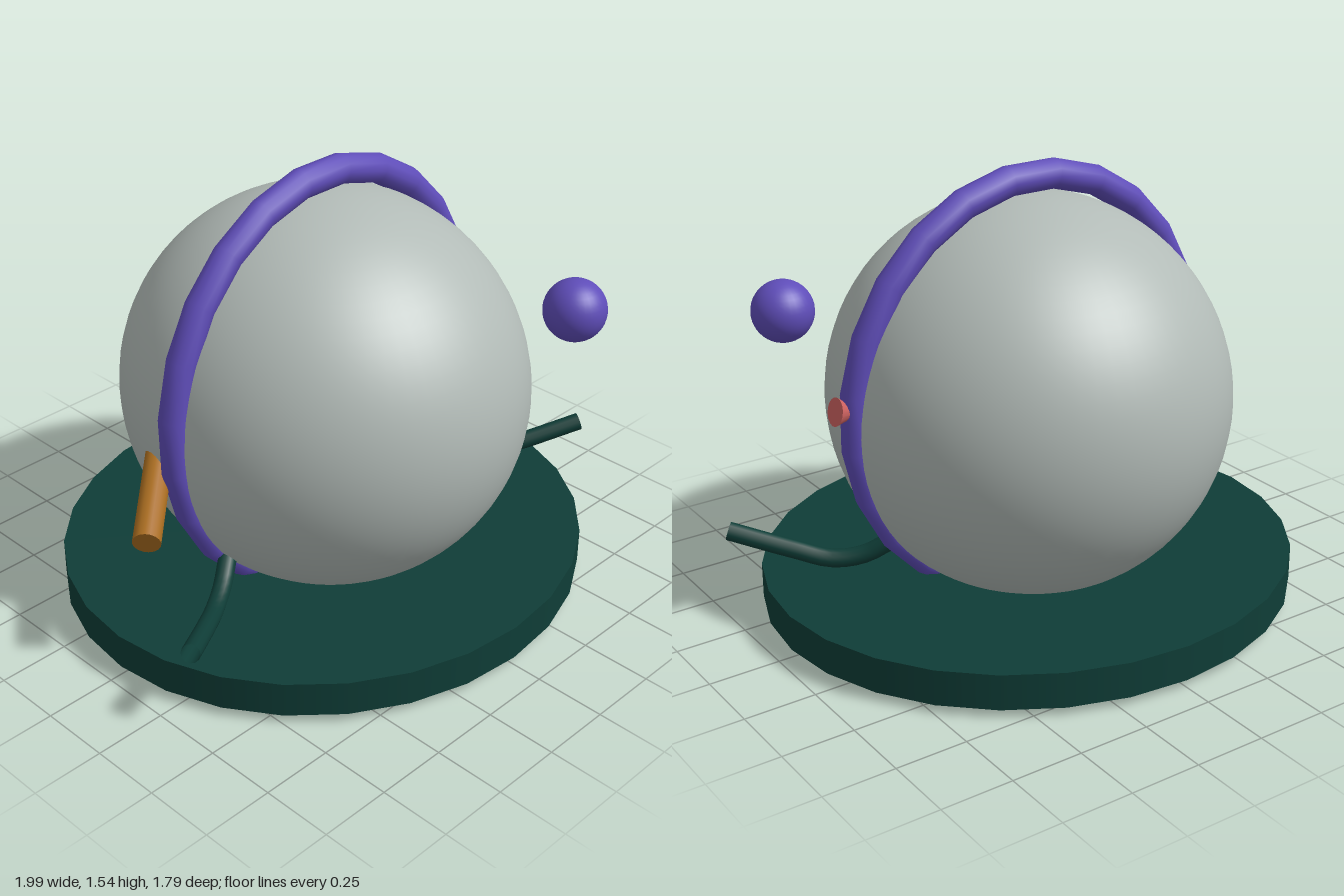
import * as THREE from 'three';

const mat = (name, color, side = THREE.FrontSide) => {
  const m = new THREE.MeshStandardMaterial({ color, side });
  m.name = name;
  return m;
};

export function createModel() {
  const grey = mat('pale grey', 0xb2bbb7);
  const purple = mat('purple', 0x5f4db9);
  const green = mat('dark green', 0x0f3d37, THREE.DoubleSide);
  const orange = mat('orange brown', 0xa86c20);
  const pink = mat('coral', 0xcc6260);

  const group = new THREE.Group();
  const add = (name, geometry, material, x = 0, y = 0, z = 0) => {
    const mesh = new THREE.Mesh(geometry, material);
    mesh.name = name;
    mesh.position.set(x, y, z);
    group.add(mesh);
    return mesh;
  };
  // Turns a mesh so its local y axis follows a direction
  const aim = (mesh, dir) =>
    mesh.quaternion.setFromUnitVectors(new THREE.Vector3(0, 1, 0), dir.clone().normalize());

  // Main body: a slightly stretched ball
  add('body', new THREE.SphereGeometry(1, 64, 40), grey, 0, 0.735, 0).scale.set(0.688, 0.697, 0.724);

  // Oval base plate
  add('base', new THREE.CylinderGeometry(1, 1, 0.125, 28), green, 0, 0.0925, -0.003)
    .scale.set(0.953, 1, 0.894);

  // Ring over the body, leaning slightly back
  const ringGeo = new THREE.TorusGeometry(0.727, 0.052, 12, 24);
  ringGeo.rotateZ(Math.PI / 24);
  ringGeo.scale(0.941, 1, 1);
  ringGeo.rotateX(-0.024);
  add('ring', ringGeo, purple, -0.002, 0.773, 0.002);

  // Floating ball at the front
  add('smallBall', new THREE.SphereGeometry(0.111, 32, 20), purple, 0.632, 0.986, 0.573);

  // Small cone, its point buried in the ring
  const coneDir = new THREE.Vector3(-0.97, -0.23, 0).normalize();
  const coneEnd = new THREE.Vector3(0.751, 0.832, 0).addScaledVector(coneDir, 0.05);
  aim(add('cone', new THREE.ConeGeometry(0.048, 0.1, 16), pink, ...coneEnd.toArray()), coneDir);

  // Slanted peg through the side of the body
  const pegOut = new THREE.Vector3(-0.892, 0.545, 0.095);
  const pegIn = new THREE.Vector3(-0.57, 0.68, -0.195);
  const pegMid = pegOut.clone().add(pegIn).multiplyScalar(0.5);
  aim(add('peg', new THREE.CylinderGeometry(0.047, 0.047, pegOut.distanceTo(pegIn), 16), orange,
    ...pegMid.toArray()), pegOut.clone().sub(pegIn));

  // Pair of bent open pipes
  for (const s of [1, -1]) {
    const path = new THREE.CatmullRomCurve3([
      [0.42, 0.36, -0.02], [0.53, 0.28, 0.065], [0.6, 0.232, 0.115],
      [0.69, 0.216, 0.175], [0.8, 0.25, 0.257], [0.975, 0.315, 0.385],
    ].map(([x, y, z]) => new THREE.Vector3(s * x, y, z)));
    add(s > 0 ? 'leftPipe' : 'rightPipe', new THREE.TubeGeometry(path, 20, 0.032, 12), green);
  }
  return group;
}
